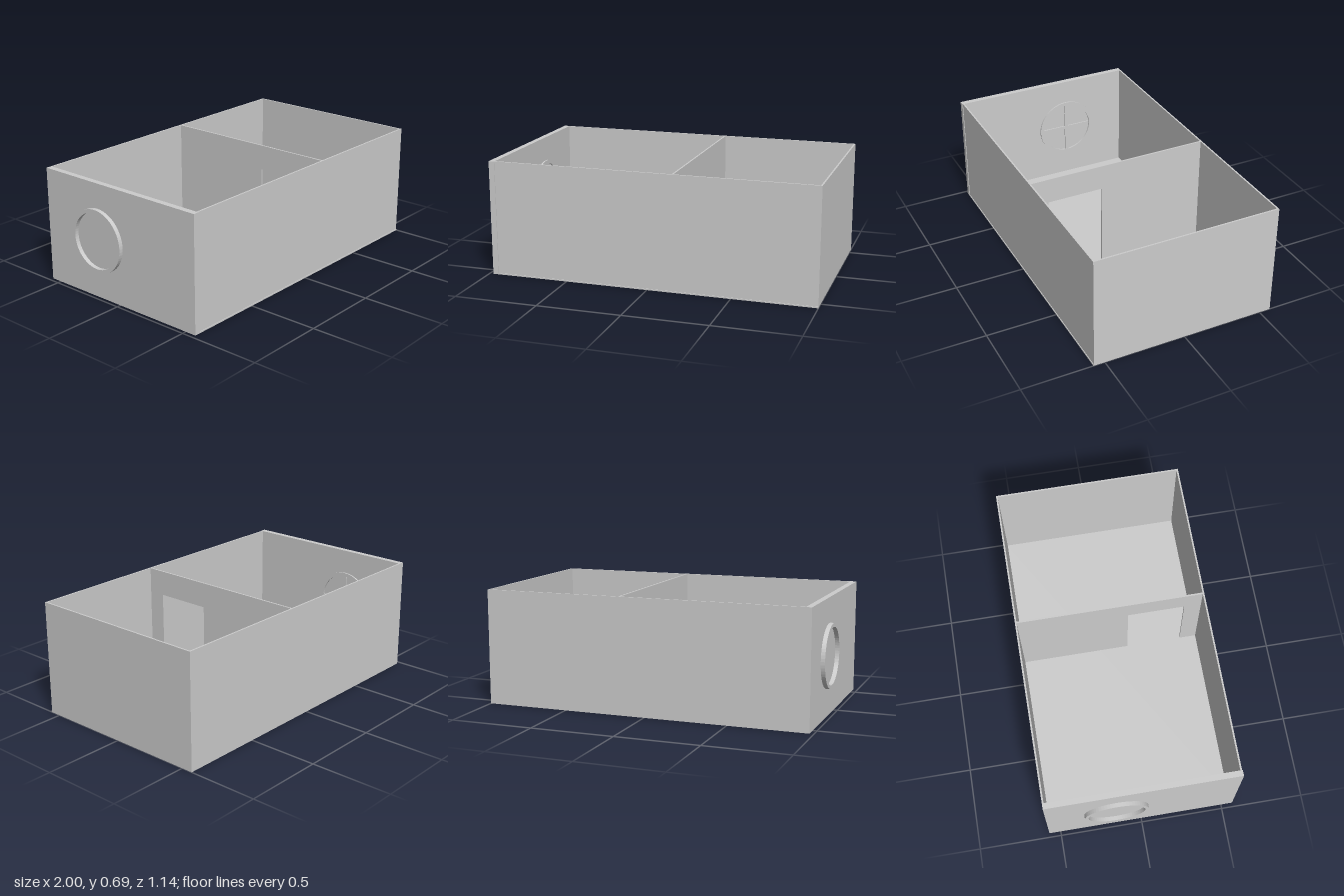
import * as THREE from 'three';

const material = new THREE.MeshStandardMaterial({ color: 0xcccccc });

export function createModel() {
  const model = new THREE.Group();
  model.name = 'twoRoomShell';

  const H = 0.695, D = 0.57, T = 0.01, FLOOR = 0.008;

  const add = (name, geometry, parent = model) => {
    const mesh = new THREE.Mesh(geometry, material);
    mesh.name = name;
    parent.add(mesh);
    return mesh;
  };

  // Box given by its minimum and maximum corners
  const box = (name, [x0, y0, z0], [x1, y1, z1], parent) => {
    const mesh = add(name, new THREE.BoxGeometry(x1 - x0, y1 - y0, z1 - z0), parent);
    mesh.position.set((x0 + x1) / 2, (y0 + y1) / 2, (z0 + z1) / 2);
    return mesh;
  };

  // Floor and outer walls; the window wall is thicker than the others
  box('floor', [-0.94, 0, -D], [1, FLOOR, D]);
  box('windowWall', [-0.975, 0, -D], [-0.94, H, D]);
  box('endWall', [1 - T, FLOOR, -D], [1, H, D - 0.004]);
  box('backWall', [-0.94, FLOOR, -D], [1 - T, H, -D + T]);
  box('frontWall', [-0.94, FLOOR, D - 0.004 - T], [1 - T, H, D - 0.004]);

  // Partition with a doorway open down to the floor (shape x = -z, y up)
  const inner = D - T;
  const outline = [
    [-inner, FLOOR], [-0.453, FLOOR], [-0.453, 0.542], [-0.108, 0.542],
    [-0.108, FLOOR], [inner, FLOOR], [inner, H], [-inner, H],
  ].map(([x, y]) => new THREE.Vector2(x, y));
  const partition = add('partition', new THREE.ExtrudeGeometry(
    new THREE.Shape(outline), { depth: T, bevelEnabled: false }));
  partition.rotation.y = Math.PI / 2;
  partition.position.x = 0.148;

  // Round window: a ring through the wall, with crossed bars on the inside
  const roundWindow = new THREE.Group();
  roundWindow.name = 'roundWindow';
  roundWindow.position.set(0, 0.355, -0.155);
  model.add(roundWindow);

  const R = 0.19, r = 0.168;
  const ring = new THREE.Shape().absarc(0, 0, R, 0, Math.PI * 2);
  ring.holes.push(new THREE.Path().absarc(0, 0, r, 0, Math.PI * 2, true));
  const frame = add('windowFrame', new THREE.ExtrudeGeometry(
    ring, { depth: 0.07, bevelEnabled: false, curveSegments: 32 }), roundWindow);
  frame.rotation.y = Math.PI / 2;
  frame.position.x = -1;

  box('verticalBar', [-0.945, -r, -0.011], [-0.932, r, 0.011], roundWindow);
  box('horizontalBar', [-0.945, -0.011, -r], [-0.932, 0.011, r], roundWindow);

  return model;
}
